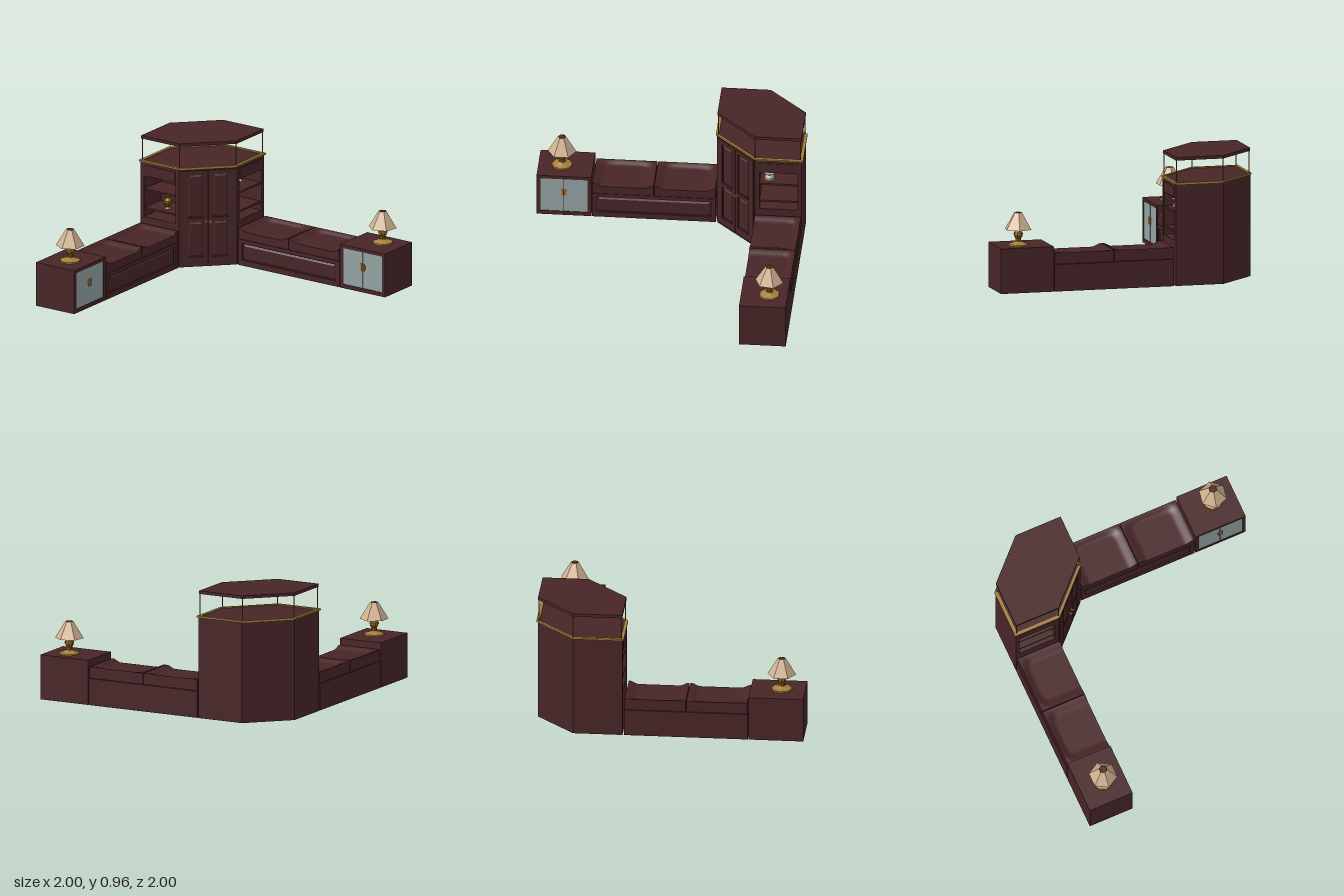
import * as THREE from 'three';

const mat = (name, color, side = THREE.FrontSide) => {
  const m = new THREE.MeshStandardMaterial({ color, side });
  m.name = name;
  return m;
};

export function createModel() {
  const wood = mat('mahogany', 0x482527);
  const gold = mat('brassTrim', 0xa8803c);
  const bronze = mat('lampBronze', 0x7a560c);
  const cream = mat('lampShade', 0xd0b090, THREE.DoubleSide);
  const glass = mat('frostedGlass', 0x94a4a4);
  const orange = mat('orangeBrass', 0xb87a2c);
  const cap = mat('darkCap', 0x4a2c14);
  const china = mat('paleChina', 0xa4b6be);
  for (const m of [gold, bronze, cream, china]) m.flatShading = true;

  const model = new THREE.Group();
  model.name = 'cornerSeating';

  const add = (parent, name, geo, material, x = 0, y = 0, z = 0) => {
    const m = new THREE.Mesh(geo, material);
    m.name = name;
    m.position.set(x, y, z);
    parent.add(m);
    return m;
  };
  // Box given by its limits on each axis
  const box = (parent, name, material, x0, x1, y0, y1, z0, z1) =>
    add(parent, name, new THREE.BoxGeometry(x1 - x0, y1 - y0, z1 - z0), material,
      (x0 + x1) / 2, (y0 + y1) / 2, (z0 + z1) / 2);
  const poly = (pts) => new THREE.Shape(pts.map(([x, y]) => new THREE.Vector2(x, y)));
  const rect = ([x0, x1, y0, y1]) => poly([[x0, y0], [x1, y0], [x1, y1], [x0, y1]]);

  // Front board with rectangular openings, extruded towards +z
  const board = (parent, name, outer, holes, z, depth) => {
    const s = rect(outer);
    s.holes = holes.map(rect);
    return add(parent, name, new THREE.ExtrudeGeometry(s, { depth, bevelEnabled: false }), wood, 0, 0, z);
  };
  // Raised field with sloping edges, sitting inside a board opening
  const field = (parent, name, [x0, x1, y0, y1], z) => {
    const g = new THREE.ExtrudeGeometry(rect([x0 + 0.018, x1 - 0.018, y0 + 0.018, y1 - 0.018]),
      { depth: 0.001, bevelSize: 0.012, bevelThickness: 0.008, bevelSegments: 1 });
    add(parent, name, g, wood, 0, 0, z);
  };

  // Seat cushion: rim along the back and sides, dished and open to the front
  const cushion = (parent, x0, x1, z0, z1) => {
    const w = x1 - x0, d = z1 - z0, h = 0.084;
    const g = new THREE.BoxGeometry(w, h, d, 32, 1, 24);
    const p = g.attributes.position;
    for (let i = 0; i < p.count; i++) {
      if (p.getY(i) < 0) continue;
      const u = Math.abs(p.getX(i)) / (w / 2);
      const v = Math.max(0, 0.3 - (p.getZ(i) + d / 2) / d) / 0.3;
      const r = Math.pow(u ** 5 + (v * 0.98) ** 3, 0.25);
      const t = THREE.MathUtils.smoothstep(r, 0.62, 0.96);
      p.setY(i, h / 2 - 0.024 * (1 - t));
    }
    g.computeVertexNormals();
    add(parent, 'cushion', g, wood, (x0 + x1) / 2, 0.203 + h / 2, (z0 + z1) / 2);
  };

  const lathe = (pts, n) => new THREE.LatheGeometry(pts.map(([r, y]) => new THREE.Vector2(r, y)), n);

  const lamp = (parent, x, z, turn) => {
    const g = new THREE.Group();
    g.name = 'tableLamp';
    g.position.set(x, 0.335, z);
    g.rotation.y = turn;
    parent.add(g);
    add(g, 'lampFoot', lathe([[0.078, 0], [0.076, 0.01], [0.05, 0.018], [0.03, 0.028]], 8), gold);
    add(g, 'lampStem', lathe([[0.045, 0.016], [0.022, 0.034], [0.02, 0.05], [0.03, 0.068], [0.034, 0.085],
      [0.03, 0.1], [0.015, 0.115], [0.012, 0.235]], 8), bronze);
    add(g, 'lampRing', new THREE.CylinderGeometry(0.036, 0.036, 0.008, 8), gold, 0, 0.085, 0);
    // Six-sided shade with a point on the x axis
    const shade = add(g, 'lampShade', new THREE.CylinderGeometry(0.03, 0.106, 0.125, 6, 1, true), cream, 0, 0.183, 0);
    shade.rotation.y = Math.PI / 6;
    const top = add(g, 'shadeCap', new THREE.CylinderGeometry(0.028, 0.028, 0.004, 6), cap, 0, 0.243, 0);
    top.rotation.y = Math.PI / 6;
  };

  // One arm: bench plus end cabinet, front facing +z; s = -1 puts the cabinet at -x
  const arm = (s) => {
    const g = new THREE.Group();
    g.name = 'seatingArm';
    model.add(g);
    const span = (a, b) => (s > 0 ? [a, b] : [-b, -a]);
    const zb = -0.985, zf = -0.64;

    const [b0, b1] = span(-0.323, 0.59);
    box(g, 'benchBase', wood, b0, b1, 0, 0.2, zb, zf - 0.012);
    const opening = [b0 + 0.035, b1 - 0.035, 0.042, 0.17];
    board(g, 'benchFront', [b0, b1, 0, 0.2], [opening], zf - 0.012, 0.012);
    field(g, 'benchPanel', opening, zf - 0.012);
    const mid = (b0 + b1) / 2;
    cushion(g, b0 + 0.004, mid - 0.003, zb + 0.004, zf);
    cushion(g, mid + 0.003, b1 - 0.004, zb + 0.004, zf);

    const [c0, c1] = span(0.596, 1);
    const cm = (c0 + c1) / 2;
    box(g, 'endCabinet', wood, c0, c1, 0, 0.335, zb, zf - 0.01);
    board(g, 'endCabinetFrame', [c0, c1, 0, 0.335], [[c0 + 0.028, c1 - 0.028, 0.03, 0.31]], zf - 0.01, 0.01);
    for (const k of [-1, 1]) {
      const e = cm + k * 0.002, f = cm + k * 0.174;
      box(g, 'glassDoor', glass, Math.min(e, f), Math.max(e, f), 0.031, 0.309, zf - 0.01, zf - 0.004);
      box(g, 'doorHandle', orange, cm + k * 0.011 - 0.005, cm + k * 0.011 + 0.005, 0.165, 0.22, zf - 0.004, zf + 0.004);
      box(g, 'handlePlate', orange, cm + k * 0.012 - 0.009, cm + k * 0.012 + 0.009, 0.175, 0.21, zf - 0.004, zf);
    }
    return g;
  };
  lamp(arm(-1), -0.825, -0.8, 0);
  const rightArm = arm(1);
  rightArm.rotation.y = -Math.PI / 2;
  lamp(rightArm, 0.83, -0.85, 0.35);

  // Six-sided corner cabinet; outlines are drawn as (x, -z) and raised along y
  const tower = new THREE.Group();
  tower.name = 'cornerCabinet';
  model.add(tower);
  const hex = [[0.335, 0.985], [0.335, 0.64], [0.64, 0.335], [0.985, 0.335], [0.985, 0.7], [0.7, 0.985]];
  const grow = (k) => hex.map(([x, y]) => [0.66 + (x - 0.66) * k, 0.66 + (y - 0.66) * k]);
  const slab = (name, shape, material, y0, y1) => {
    const g = new THREE.ExtrudeGeometry(shape, { depth: y1 - y0, bevelEnabled: false });
    return add(tower, name, g.rotateX(-Math.PI / 2), material, 0, y0, 0);
  };
  const n0 = 0.672, n1 = 0.955, back = 0.55;
  const notched = [
    [0.335, 0.985], [0.335, n1], [back, n1], [back, n0], [0.335, n0], [0.335, 0.64],
    [0.64, 0.335], [n0, 0.335], [n0, back], [n1, back], [n1, 0.335], [0.985, 0.335],
    [0.985, 0.7], [0.7, 0.985]];
  slab('cabinetBase', poly(hex), wood, 0, 0.335);
  slab('cabinetNicheWalls', poly(notched), wood, 0.335, 0.65);
  slab('cabinetHeader', poly(hex), wood, 0.65, 0.762);

  // Shelves in both niches
  for (const y of [0.39, 0.535]) {
    box(tower, 'frontShelf', wood, n0, n1, y, y + 0.014, -back, -0.345);
    box(tower, 'sideShelf', wood, 0.345, back, y, y + 0.014, -n1, -n0);
  }
  // Header mouldings above the niches
  box(tower, 'frontMoulding', wood, n0, n1, 0.655, 0.735, -0.336, -0.33);
  box(tower, 'sideMoulding', wood, 0.33, 0.336, 0.655, 0.735, -n1, -n0);

  // Ornaments
  add(tower, 'chinaBowl', lathe([[0, 0.012], [0.036, 0.012], [0.032, 0.022], [0.018, 0.034], [0.03, 0.046],
    [0.05, 0.06], [0.044, 0.06], [0, 0.045]], 10), china, 0.74, 0.549, -0.42);
  add(tower, 'bowlStand', new THREE.CylinderGeometry(0.04, 0.044, 0.012, 10), orange, 0.74, 0.555, -0.42);
  add(tower, 'brassUrn', lathe([[0, 0], [0.03, 0], [0.016, 0.015], [0.036, 0.045], [0.034, 0.065],
    [0.014, 0.085], [0.022, 0.1], [0, 0.1]], 8), bronze, 0.42, 0.404, -0.8);

  // Panelled double doors on the diagonal face
  const doors = new THREE.Group();
  doors.name = 'diagonalDoors';
  doors.position.set(0.4875, 0, -0.4875);
  doors.rotation.y = -Math.PI / 4;
  tower.add(doors);
  for (const k of [-1, 1]) {
    const lim = (a, b) => (k > 0 ? [a, b] : [-b, -a]);
    const panels = [[...lim(0.03, 0.152), 0.075, 0.35], [...lim(0.03, 0.152), 0.378, 0.715]];
    board(doors, 'cabinetDoor', [...lim(0.002, 0.205), 0.02, 0.745], panels, 0, 0.01);
    for (const p of panels) field(doors, 'doorPanel', p, 0);
    const [h0, h1] = lim(0.006, 0.026);
    box(doors, 'handlePlate', gold, h0, h1, 0.335, 0.358, 0.01, 0.016);
    const knob = add(doors, 'doorKnob', new THREE.CylinderGeometry(0.009, 0.006, 0.016, 8), gold, (h0 + h1) / 2, 0.346, 0.022);
    knob.rotation.x = Math.PI / 2;
  }

  // Brass rail, posts and canopy
  const ring = poly(grow(1.032));
  ring.holes = [poly(grow(0.96))];
  slab('brassRail', ring, gold, 0.757, 0.77);
  for (const [x, y] of grow(0.975))
    add(tower, 'canopyPost', new THREE.CylinderGeometry(0.004, 0.004, 0.17, 6), bronze, x, 0.85, -y);
  slab('canopy', poly(grow(0.995)), wood, 0.934, 0.957);

  return model;
}
